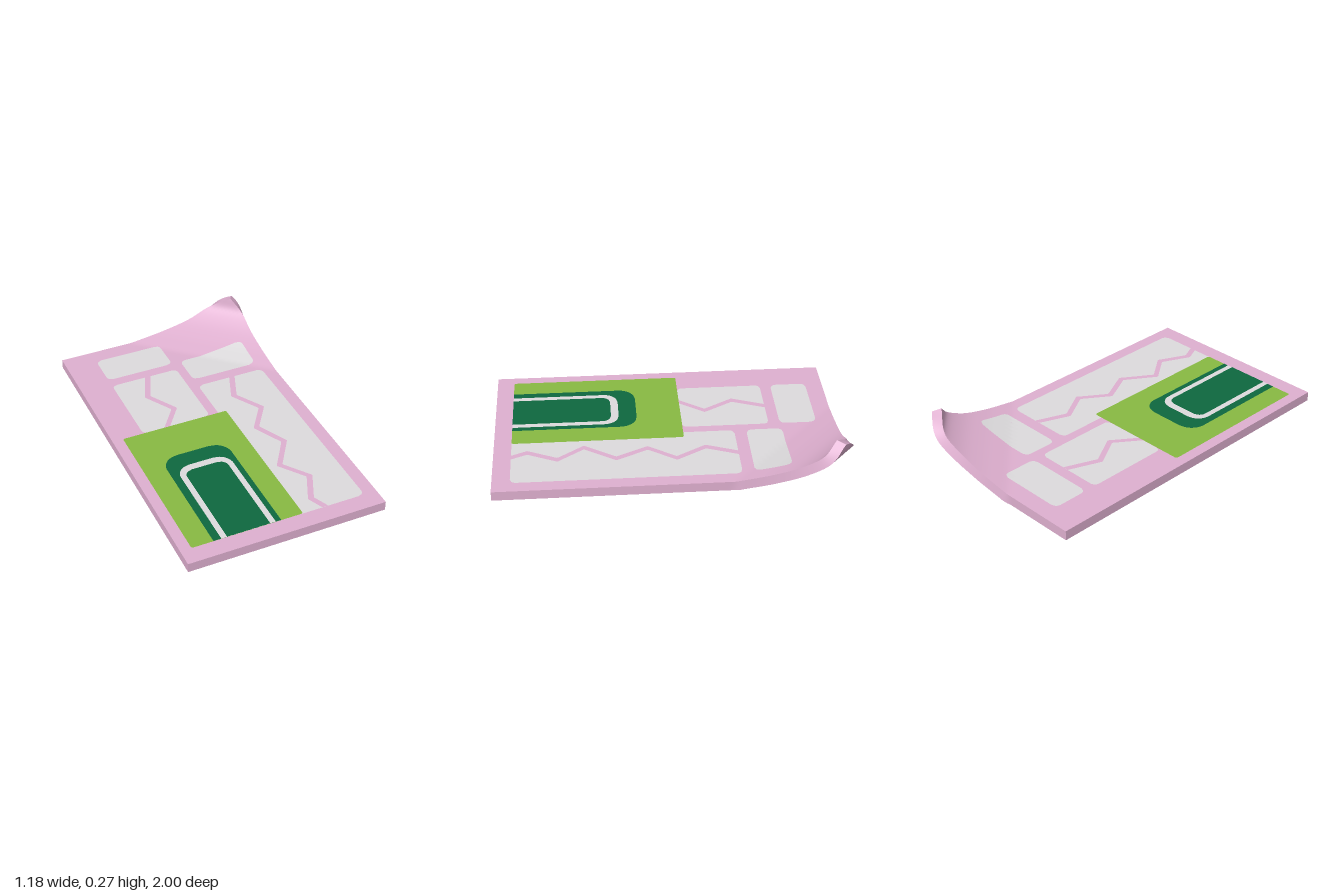
import * as THREE from 'three';

const X0 = -0.588, X1 = 0.576, Z0 = -0.972, Z1 = 1;
const TOP = 0.06, THICK = 0.056, LAYER = 0.001;

// Profile of the curled corner: distance past the fold line -> (run, rise)
const curl = new THREE.CubicInterpolant(
  [0, 0.155, 0.275, 0.356, 0.474],
  [0, 0, 0.153, 0.034, 0.27, 0.077, 0.347, 0.13, 0.372, 0.212], 2);
function profile(s) {
  if (s <= 0) return [s, 0];
  const r = curl.evaluate(Math.min(s, 0.474));
  return [r[0], r[1]];
}

// Maps a flat rug position to the bent rug; depth is measured down from the top
function bend(x, z, depth) {
  const s = 0.672 * (x + 0.13) - 0.741 * (z - Z0);
  const [u, h] = profile(s);
  const a = profile(s - 0.015), b = profile(Math.min(s + 0.015, 0.474));
  const angle = Math.atan2(b[1] - a[1], b[0] - a[0]);
  const shift = u - s + depth * Math.sin(angle);
  return [x + 0.52 * shift, TOP + h - depth * Math.cos(angle), z - 0.85 * shift];
}

// Flat-coloured patch that follows the rug between two side edges
function patchGeometry(z0, z1, left, right, depth, faceDown) {
  const rows = Math.ceil((z1 - z0) / 0.008), cols = 14;
  const pos = [], index = [];
  for (let i = 0; i <= rows; i++) {
    const z = z0 + (z1 - z0) * i / rows;
    for (let j = 0; j <= cols; j++) {
      pos.push(...bend(THREE.MathUtils.lerp(left(z), right(z), j / cols), z, depth));
      if (i === rows || j === cols) continue;
      const a = i * (cols + 1) + j, b = a + 1, c = a + cols + 1, d = c + 1;
      if (faceDown) index.push(a, b, c, b, d, c);
      else index.push(a, c, b, b, c, d);
    }
  }
  const g = new THREE.BufferGeometry();
  g.setAttribute('position', new THREE.Float32BufferAttribute(pos, 3));
  g.setIndex(index);
  g.computeVertexNormals();
  return g;
}

export function createModel() {
  const model = new THREE.Group();
  const material = (name, color) => {
    const m = new THREE.MeshStandardMaterial({ color });
    m.name = name;
    return m;
  };
  const pink = material('pink', 0xdfb0d0);
  const white = material('white', 0xdddbdd);
  const green = material('leafGreen', 0x88ba43);
  const dark = material('darkGreen', 0x0e683f);

  // Rug body with one lifted corner
  const body = new THREE.BoxGeometry(X1 - X0, 1, Z1 - Z0, 64, 2, 108);
  const p = body.attributes.position;
  for (let i = 0; i < p.count; i++) {
    p.setXYZ(i, ...bend(p.getX(i) + (X0 + X1) / 2, p.getZ(i) + (Z0 + Z1) / 2,
      (0.5 - p.getY(i)) * THICK));
  }
  body.computeVertexNormals();
  const rug = new THREE.Mesh(body, pink);
  rug.name = 'rug';
  model.add(rug);

  // The pattern shows on both faces of the rug
  function patch(name, mat, layer, z0, z1, left, right) {
    const pair = new THREE.Group();
    pair.name = name;
    for (const down of [false, true]) {
      const depth = down ? THICK + layer * LAYER : -layer * LAYER;
      const mesh = new THREE.Mesh(patchGeometry(z0, z1, left, right, depth, down), mat);
      mesh.name = name + (down ? 'Underside' : 'Top');
      pair.add(mesh);
    }
    model.add(pair);
  }

  // Rectangle with rounded back corners (r0) and front corners (r1)
  function panel(name, mat, layer, x0, x1, z0, z1, r0, r1 = r0) {
    const arc = (d, r) => d < r ? r - Math.sqrt(Math.max(0, r * r - (r - d) ** 2)) : 0;
    const inset = z => Math.max(arc(z - z0, r0), arc(z1 - z, r1));
    patch(name, mat, layer, z0, z1, z => x0 + inset(z), z => x1 - inset(z));
  }

  // Crack of even width along a list of [x, z] corners
  function crack(name, points) {
    const centre = z => {
      let i = 1;
      while (i < points.length - 1 && z > points[i][1]) i++;
      const [xa, za] = points[i - 1], [xb, zb] = points[i];
      return xa + (xb - xa) * (z - za) / (zb - za);
    };
    patch(name, pink, 2, points[0][1], points[points.length - 1][1],
      z => centre(z) - 0.018, z => centre(z) + 0.018);
  }

  // Pale blocks
  panel('backLeftBlock', white, 1, -0.4, 0.02, -0.87, -0.655, 0.035);
  panel('backRightBlock', white, 1, 0.075, 0.49, -0.66, -0.45, 0.035);
  panel('middleBlock', white, 1, -0.4, 0.02, -0.59, -0.085, 0.03);
  panel('longBlock', white, 1, 0.075, 0.5, -0.38, 0.9, 0.035);

  // Zigzag cracks
  crack('middleCrack', [[-0.17, -0.59], [-0.245, -0.4], [-0.145, -0.23], [-0.25, -0.085]]);
  crack('longCrack', [[0.3, -0.38], [0.23, -0.2], [0.33, -0.03], [0.22, 0.13], [0.31, 0.31],
    [0.19, 0.49], [0.3, 0.64], [0.22, 0.81], [0.26, 0.9]]);

  // Green field with an arched doorway
  panel('greenField', green, 2, -0.525, 0.125, -0.085, 0.9, 0.008);
  panel('archPanel', dark, 3, -0.4, -0.005, 0.175, 0.9, 0.1, 0);
  panel('archBand', white, 3.5, -0.355, -0.037, 0.28, 0.9, 0.085, 0);
  panel('archInside', dark, 4, -0.322, -0.07, 0.325, 0.9, 0.05, 0);

  return model;
}
